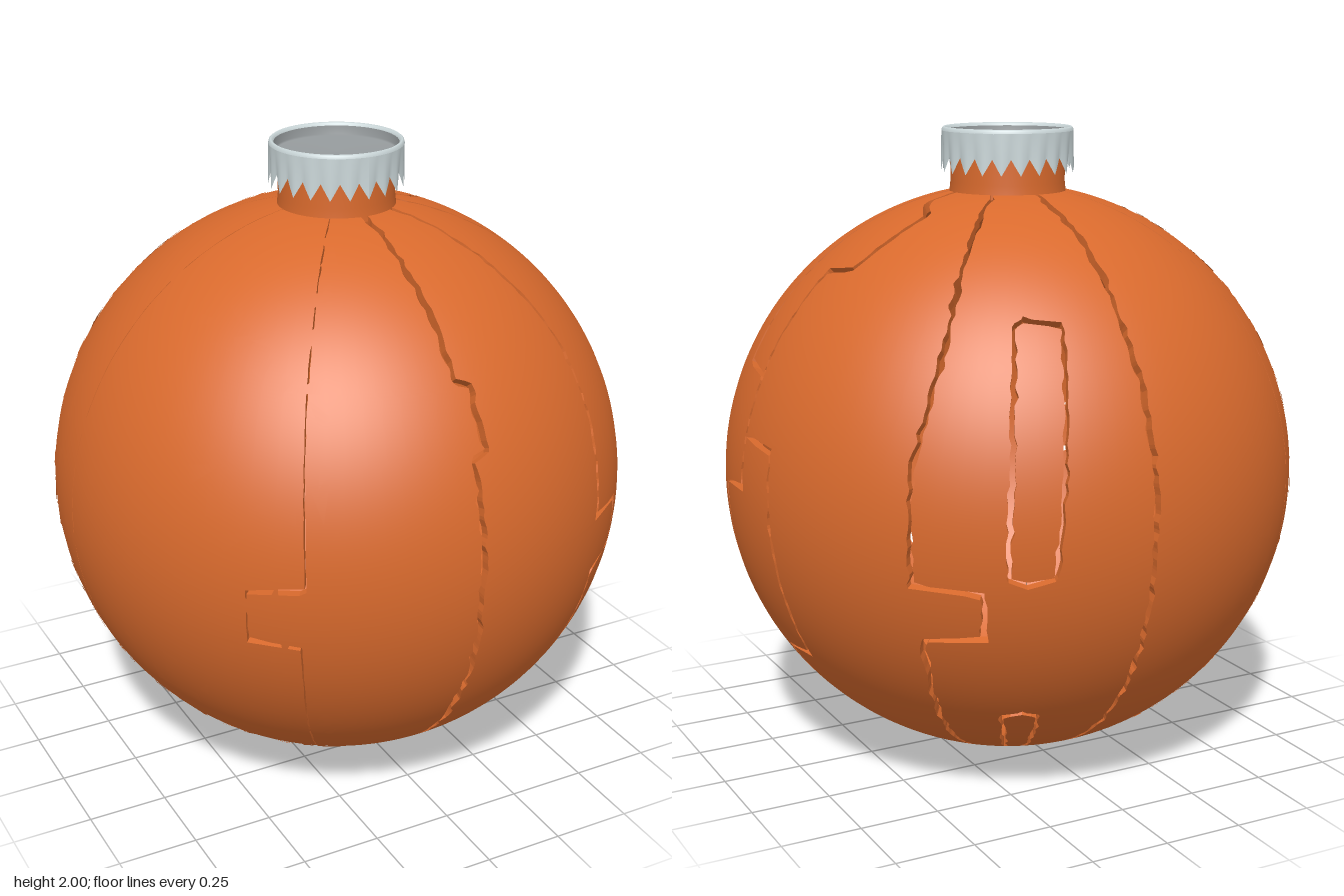
import * as THREE from 'three';

const R = 0.91, CY = 0.91, THICK = 0.03;
const ROWS = 240, PHI0 = 0.185, PHI1 = Math.PI - 0.012;
const RAD = Math.PI / 180;

// Seams around the shell: [height, longitude in degrees] from top to bottom (0 = front, 90 = +x)
const frontSeam = [[1.46, 0], [1.45, 3], [1.28, 3], [1.27, 0], [0.165, 0], [0.16, 13], [0.08, 14], [0.075, 0]];
const SEAMS = [
  { pts: frontSeam, w: 0.009 },
  { pts: [[1.68, 38], [1.45, 38], [0.94, 33], [0.93, 45], [0.76, 45], [0.75, 34], [0.35, 34], [0.08, 33]], w: 0.007 },
  { pts: [[1.75, 70], [1.6, 76], [1.3, 79.5], [1.285, 90], [0.94, 90], [0.93, 78.6], [0.5, 78.6], [0.16, 76], [0.15, 90]], w: 0.006 },
  { pts: [[1.78, 90], [1.75, 109], [1.6, 101], [1.585, 90], [1.1, 90], [1.09, 101], [0.6, 102], [0.43, 101], [0.42, 90]], w: 0.006 },
  { pts: [[1.45, 139], [1.1, 135], [0.77, 135], [0.76, 148], [0.61, 148], [0.6, 136], [0.3, 135]], w: 0.008 },
  { pts: [[1.5, 156], [1.49, 154], [0.8, 152.5], [0.79, 156], [0.32, 156], [0.31, 151], [0.07, 151], [0.06, 156]],
    w: 0.007, open: [[0.8, 1.49], [0.07, 0.31]] },
  { pts: [[1.5, 156], [1.49, 165], [0.8, 161], [0.79, 156], [0.32, 156], [0.31, 160], [0.07, 160], [0.06, 156]],
    w: 0.007, open: [[0.8, 1.49], [0.07, 0.31]] },
  { pts: [[1.0, 180]], w: 0.009 },
  { pts: [[1.0, 225]], w: 0.002 },
  { pts: [[1.0, 270]], w: 0.0015 },
  { pts: [[1.43, 326], [0.93, 327], [0.92, 316], [0.75, 316], [0.74, 326]], w: 0.002 },
  { pts: frontSeam.map(([y, a]) => [y, a + 360]), w: 0.009, seed: 0 },
];

function seeded(seed) {
  let s = seed * 7919 + 17;
  return () => ((s = (s * 16807) % 2147483647) / 2147483647);
}

const heightAt = phi => CY + R * Math.cos(phi);

function longitude(pts, y) {
  if (y >= pts[0][0]) return pts[0][1];
  for (let i = 1; i < pts.length; i++) {
    const [y0, a0] = pts[i - 1], [y1, a1] = pts[i];
    if (y >= y1) return a0 + (a1 - a0) * (y0 - y) / (y0 - y1);
  }
  return pts[pts.length - 1][1];
}

// Both sides of a seam, row by row, with a ragged edge
function seamEdges({ pts, w, open, seed }, index) {
  const rand = seeded((seed ?? index) + 1);
  const knots = Array.from({ length: 100 }, () => [rand() - 0.5, rand()]);
  const lo = [], hi = [];
  for (let i = 0; i <= ROWS; i++) {
    const phi = PHI0 + (PHI1 - PHI0) * i / ROWS, y = heightAt(phi);
    const k = i / ROWS * 98, f = k % 1, a = knots[Math.floor(k)], b = knots[Math.floor(k) + 1];
    const isOpen = !open || open.some(([y0, y1]) => y >= y0 && y <= y1);
    const unit = isOpen ? w / (R * Math.max(Math.sin(phi), 0.1)) : 0;
    const drift = unit * 1.5 * (a[0] + (b[0] - a[0]) * f);
    const half = unit * (0.5 + a[1] + (b[1] - a[1]) * f);
    const near = [-0.009, 0, 0.009].map(d => longitude(pts, heightAt(phi + d)) * RAD);
    lo.push(Math.min(...near) + drift - half);
    hi.push(Math.max(...near) + drift + half);
  }
  return { lo, hi };
}

const point = (r, phi, a) => new THREE.Vector3(
  r * Math.sin(phi) * Math.sin(a), r * Math.cos(phi), r * Math.sin(phi) * Math.cos(a));

function makeBuilder() {
  const pos = [], nor = [];
  const tri = (p, n) => p.forEach((v, i) => {
    pos.push(v.x, v.y + CY, v.z);
    nor.push(n[i].x, n[i].y, n[i].z);
  });
  return {
    // side: 1 faces out, -1 faces in, 0 flat wall
    face(p, side) {
      let n = p.map(v => v.clone().normalize().multiplyScalar(side));
      if (!side) {
        const flat = p[1].clone().sub(p[0]).cross(p[2].clone().sub(p[0])).normalize();
        n = p.map(() => flat);
      }
      for (let i = 2; i < p.length; i++) tri([p[0], p[i - 1], p[i]], [n[0], n[i - 1], n[i]]);
    },
    geometry() {
      const g = new THREE.BufferGeometry();
      g.setAttribute('position', new THREE.Float32BufferAttribute(pos, 3));
      g.setAttribute('normal', new THREE.Float32BufferAttribute(nor, 3));
      return g;
    },
  };
}

// One curved shell piece between two seams
function panelGeometry(left, right) {
  const b = makeBuilder(), r = R - THICK;
  const widest = Math.max(...left.map((a, i) => right[i] - a));
  const cols = Math.max(2, Math.ceil(widest / (5.5 * RAD)));
  for (let i = 0; i < ROWS; i++) {
    const p0 = PHI0 + (PHI1 - PHI0) * i / ROWS, p1 = PHI0 + (PHI1 - PHI0) * (i + 1) / ROWS;
    const w0 = Math.max(0, right[i] - left[i]), w1 = Math.max(0, right[i + 1] - left[i + 1]);
    if (w0 + w1 < 1e-5) continue;
    const quad = (rad, c) => [[p0, left[i] + w0 * c / cols], [p1, left[i + 1] + w1 * c / cols],
      [p1, left[i + 1] + w1 * (c + 1) / cols], [p0, left[i] + w0 * (c + 1) / cols]]
      .map(([p, a]) => point(rad, p, a));
    for (let c = 0; c < cols; c++) {
      const outer = quad(R, c), inner = quad(r, c);
      b.face(outer, 1);
      b.face([...inner].reverse(), -1);
      if (c === 0) b.face([inner[0], inner[1], outer[1], outer[0]], 0);
      if (c === cols - 1) b.face([outer[3], outer[2], inner[2], inner[3]], 0);
    }
  }
  return b.geometry();
}

// Small flakes on the crazed half of the shell
function flakeGeometry() {
  const b = makeBuilder(), rand = seeded(42);
  for (let i = 0; i < 260; i++) {
    const a = (205 + 128 * rand()) * RAD, phi = Math.acos(0.95 - 1.85 * rand());
    const turn = rand() * 6.28, size = 0.02 + 0.05 * rand();
    const corners = [0, 2.6, 3.6].map(t => {
      const dx = Math.sin(turn + t) * size, dy = Math.cos(turn + t) * size;
      return point(R + 0.003, phi - dy, a + dx / Math.max(0.25, Math.sin(phi)));
    });
    b.face(corners.reverse(), 1);
  }
  return b.geometry();
}

// Pleated cap wall with a toothed lower edge
function skirtGeometry() {
  const teeth = 22, g = new THREE.CylinderGeometry(0.207, 0.207, 1, teeth * 8, 6, true);
  const p = g.attributes.position;
  for (let i = 0; i < p.count; i++) {
    const a = Math.atan2(p.getX(i), p.getZ(i)), down = 0.5 - p.getY(i);
    const wave = Math.abs(((a / (2 * Math.PI) + 1) * teeth) % 1 - 0.5) * 2;
    const rad = 0.207 + down * 0.008 * (wave - 0.7);
    p.setXYZ(i, rad * Math.sin(a), 1.988 - down * (0.078 + 0.05 * wave), rad * Math.cos(a));
  }
  g.computeVertexNormals();
  return g;
}

const lathe = (pts, n = 64) => new THREE.LatheGeometry(pts.map(([x, y]) => new THREE.Vector2(x, y)), n);

export function createModel() {
  const model = new THREE.Group();
  const mat = (name, color) => Object.assign(new THREE.MeshStandardMaterial({ color }), { name, side: THREE.DoubleSide });
  const orange = mat('orange', 0xd96a2d);
  const silver = mat('silver', 0xccd8da);
  const grey = mat('dull grey', 0x969b9d);
  const add = (parent, name, geometry, material) => {
    const mesh = new THREE.Mesh(geometry, material);
    mesh.name = name;
    parent.add(mesh);
  };

  // Cracked hollow ball
  const ball = new THREE.Group();
  ball.name = 'ball';
  const edges = SEAMS.map(seamEdges);
  for (let i = 0; i + 1 < edges.length; i++)
    add(ball, 'shellPanel' + (i + 1), panelGeometry(edges[i].hi, edges[i + 1].lo), orange);
  add(ball, 'surfaceFlakes', flakeGeometry(), orange);
  add(ball, 'neck', lathe([[0.185, 1.785], [0.18, 1.83], [0.18, 1.94]]), orange);

  // Metal cap
  const cap = new THREE.Group();
  cap.name = 'cap';
  add(cap, 'capSkirt', skirtGeometry(), silver);
  add(cap, 'capRim', lathe([[0.207, 1.987], [0.205, 1.996], [0.2, 2], [0.194, 1.997], [0.191, 1.99]]), silver);
  add(cap, 'capDish', lathe([[0.191, 1.99], [0.189, 1.965], [0.185, 1.96], [0, 1.955]]), grey);

  model.add(ball, cap);
  return model;
}
